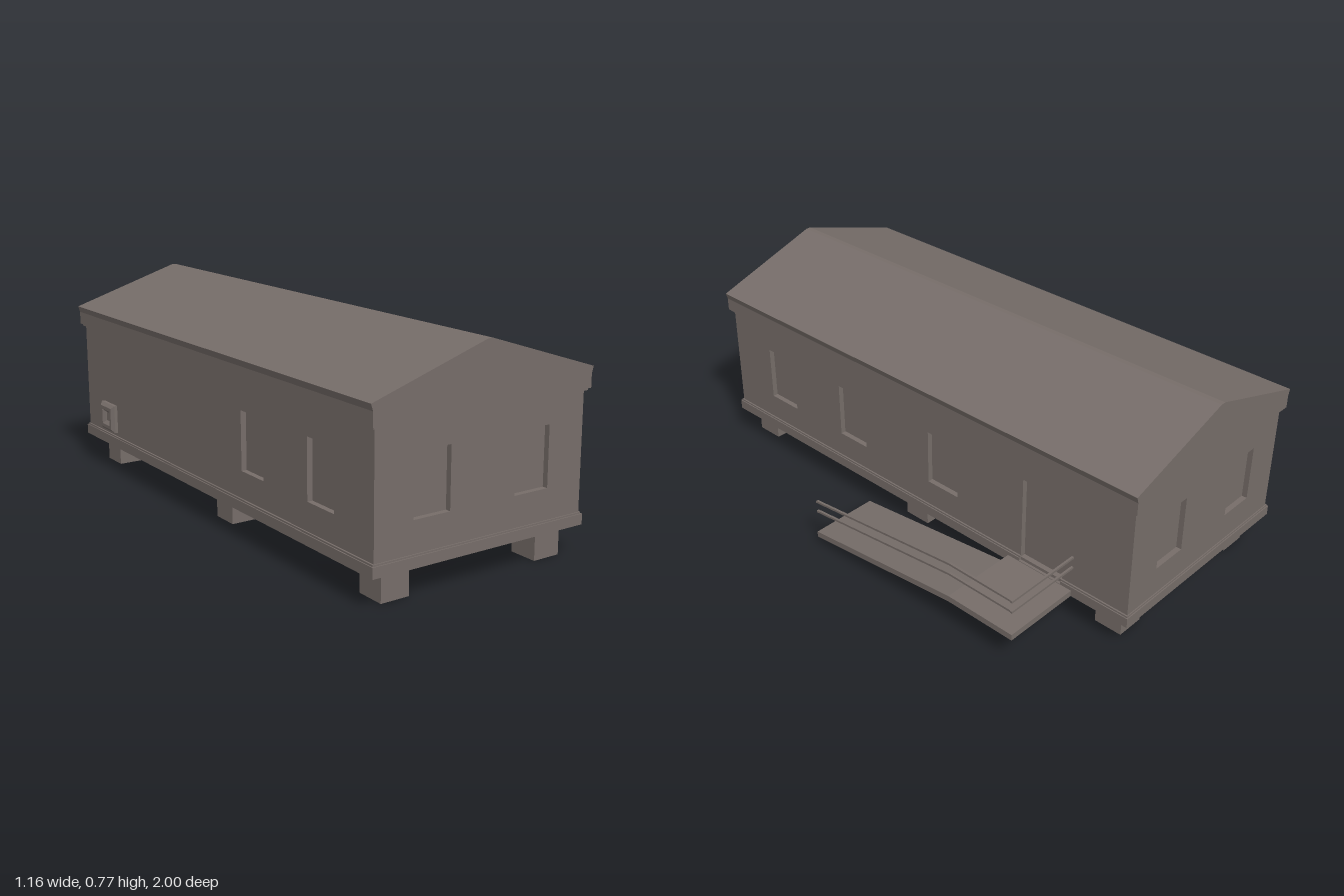
import * as THREE from 'three';

const CX = -0.145;          // house centre line
const HW = 0.415, HL = 0.985; // half width and half length of the walls
const T = 0.02;             // wall thickness, also the window recess

export function createModel() {
  const grey = new THREE.MeshStandardMaterial({ color: 0x766d69 });
  grey.name = 'warm grey';
  const model = new THREE.Group();
  const house = new THREE.Group();
  house.name = 'house';
  house.position.x = CX;
  model.add(house);

  const add = (parent, name, geometry) => {
    const mesh = new THREE.Mesh(geometry, grey);
    mesh.name = name;
    parent.add(mesh);
    return mesh;
  };
  // Box given by its limits on each axis
  const box = (parent, name, x0, x1, y0, y1, z0, z1) => {
    const m = add(parent, name, new THREE.BoxGeometry(x1 - x0, y1 - y0, z1 - z0));
    m.position.set((x0 + x1) / 2, (y0 + y1) / 2, (z0 + z1) / 2);
    return m;
  };
  const polygon = (pts) => new THREE.Shape(pts.map(([x, y]) => new THREE.Vector2(x, y)));
  const rect = (x0, x1, y0, y1) => polygon([[x0, y0], [x1, y0], [x1, y1], [x0, y1]]);
  const extrude = (shape, depth) => new THREE.ExtrudeGeometry(shape, { depth, bevelEnabled: false });

  // Walls with openings; the core behind them closes windows and door
  const wall = (name, half, out, turn, openings) => {
    const shape = rect(-half, half, 0.12, 0.56);
    shape.holes = openings.map((o) => rect(...o));
    const g = extrude(shape, T);
    g.translate(0, 0, out - T);
    add(house, name, g).rotation.y = turn;
  };
  const endWindows = [[-0.27, -0.13, 0.255, 0.465], [0.13, 0.27, 0.255, 0.465]];
  wall('frontWall', HW, HL, 0, endWindows);
  wall('backWall', HW, HL, Math.PI, endWindows);
  wall('leftWall', HL - T, HW, Math.PI / 2, [
    [-0.783, -0.638, 0.245, 0.455], [-0.38, -0.24, 0.245, 0.455],
    [0.086, 0.23, 0.245, 0.455], [0.53, 0.713, 0.13, 0.465],
  ]);
  wall('rightWall', HL - T, HW, -Math.PI / 2, [
    [0.24, 0.38, 0.245, 0.455], [0.638, 0.783, 0.245, 0.455],
  ]);
  box(house, 'windowAndDoorPanels', -HW + T, HW - T, 0.12, 0.56, -HL + T, HL - T);

  // Floor slab, and a skirt notched at the doorway
  box(house, 'floor', -0.425, 0.425, 0.105, 0.13, -0.993, 0.993);
  const skirt = extrude(polygon([
    [-0.425, -0.993], [0.425, -0.993], [0.425, 0.53], [HW, 0.53],
    [HW, 0.713], [0.425, 0.713], [0.425, 0.993], [-0.425, 0.993],
  ]), 0.012);
  add(house, 'skirt', skirt.rotateX(-Math.PI / 2).translate(0, 0.13, 0));
  for (const s of [-1, 1]) {
    box(house, 'skirtLip', s * 0.418 - 0.003, s * 0.418 + 0.003, 0.14, 0.148, -0.988, s > 0 ? -0.713 : 0.988);
    if (s > 0) box(house, 'skirtLip', 0.415, 0.421, 0.14, 0.148, -0.53, 0.988);
    box(house, 'skirtLip', -0.42, 0.42, 0.14, 0.148, s * 0.986 - 0.003, s * 0.986 + 0.003);
  }

  // Gabled roof with a boxed eave
  box(house, 'eaveTrim', -0.425, 0.425, 0.556, 0.566, -0.993, 0.993);
  const roof = extrude(polygon([
    [-0.432, 0.564], [0.432, 0.564], [0.432, 0.612], [0.439, 0.635],
    [0.01, 0.773], [-0.01, 0.773], [-0.439, 0.635], [-0.432, 0.612],
  ]), 2);
  add(house, 'roof', roof.translate(0, 0, -1));

  // Piers
  for (const x of [-0.453, 0.168]) {
    for (const z of [0.895, 0.025, -0.878]) {
      box(model, 'pier', x - 0.053, x + 0.053, 0, 0.106, z - 0.054, z + 0.054);
    }
  }

  // Chamfered vent on the right wall
  const ventShape = rect(-0.045, 0.045, -0.043, 0.043);
  ventShape.holes = [rect(-0.032, 0.032, -0.03, 0.03)];
  const ventFrame = new THREE.ExtrudeGeometry(ventShape, {
    depth: 0.012, bevelEnabled: true, bevelSize: 0.012, bevelThickness: 0.012, bevelSegments: 1,
  });
  const vent = new THREE.Group();
  vent.name = 'vent';
  vent.position.set(-HW, 0.218, -0.778);
  vent.rotation.y = -Math.PI / 2;
  add(vent, 'ventFrame', ventFrame);
  box(vent, 'ventPanel', -0.035, 0.035, -0.033, 0.033, -0.005, 0.01);
  house.add(vent);

  // Landing and sloping ramp
  box(model, 'landing', 0.27, 0.58, 0.105, 0.128, -0.76, -0.48);
  const along = (pts, width) => { // profile given as [z, y], extruded along x
    const g = extrude(polygon(pts.map(([z, y]) => [-z, y])), width);
    return g.rotateY(Math.PI / 2);
  };
  add(model, 'ramp', along([[-0.48, 0.105], [-0.48, 0.128], [0.183, 0.05], [0.183, 0.027]], 0.262))
    .position.x = 0.318;

  // Pairs of rails round the outer edge
  for (const y of [0.26, 0.218]) {
    const r = 0.004;
    box(model, 'backRail', 0.26, 0.578, y - r, y + r, -0.757, -0.749);
    add(model, 'sideRail', along([
      [-0.757, y - r], [-0.757, y + r], [-0.48, y + r],
      [0.183, y - 0.078 + r], [0.183, y - 0.078 - r], [-0.48, y - r],
    ], 0.009)).position.x = 0.567;
  }
  return model;
}
